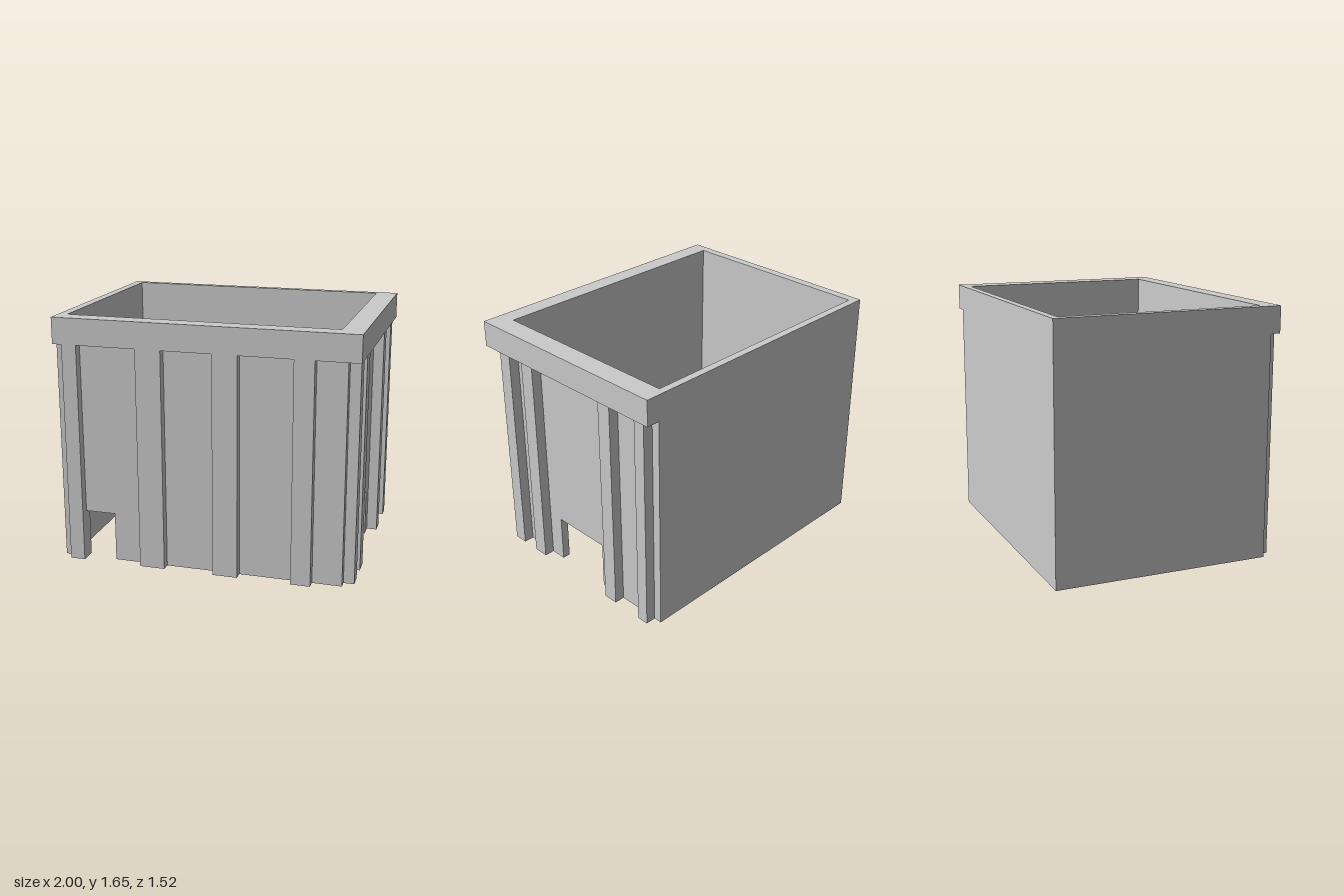
import * as THREE from 'three';

const HEIGHT = 1.655, RIM_Y = 1.48;            // total height, underside of rim
const LEFT = -1, RIGHT = 0.91;                 // wall extents in x
const BACK = -0.76, FRONT = 0.695;             // wall extents in z
const IN = { x0: -0.94, x1: 0.855, z0: -0.71, z1: 0.64 }; // inner cavity

const material = new THREE.MeshStandardMaterial({ color: 0xcccccc, flatShading: true });

function addMesh(parent, name, geometry) {
  const mesh = new THREE.Mesh(geometry, material);
  mesh.name = name;
  parent.add(mesh);
}

// Box given by its limits on each axis
function block(x0, x1, y0, y1, z0, z1) {
  return new THREE.BoxGeometry(x1 - x0, y1 - y0, z1 - z0)
    .translate((x0 + x1) / 2, (y0 + y1) / 2, (z0 + z1) / 2);
}

// Upright panel with a rectangular notch cut from its bottom edge
function notchedPanel(a, b, n0, n1, notchHeight, depth) {
  const shape = new THREE.Shape([
    [a, 0], [n0, 0], [n0, notchHeight], [n1, notchHeight], [n1, 0],
    [b, 0], [b, RIM_Y], [a, RIM_Y],
  ].map(([x, y]) => new THREE.Vector2(x, y)));
  return new THREE.ExtrudeGeometry(shape, { depth, bevelEnabled: false });
}

export function createModel() {
  const group = new THREE.Group();
  group.name = 'openBin';

  // Plain walls
  addMesh(group, 'backWall', block(LEFT, RIGHT, 0, RIM_Y, BACK, IN.z0));
  addMesh(group, 'leftWall', block(LEFT, IN.x0, 0, RIM_Y, IN.z0, IN.z1));

  // Front wall with a small notch
  addMesh(group, 'frontWall',
    notchedPanel(LEFT, RIGHT, -0.84, -0.635, 0.33, FRONT - IN.z1).translate(0, 0, IN.z1));

  // Side wall with a wide notch whose top slopes down towards the inside
  const side = notchedPanel(-IN.z1, -IN.z0, -0.205, 0.215, 0.325, RIGHT - IN.x1)
    .rotateY(Math.PI / 2).translate(IN.x1, 0, 0);
  const pos = side.attributes.position;
  for (let i = 0; i < pos.count; i++) {
    if (pos.getX(i) < 0.88 && Math.abs(pos.getY(i) - 0.325) < 0.01) pos.setY(i, 0.265);
  }
  side.computeVertexNormals();
  addMesh(group, 'sideWall', side);

  // Vertical ribs on the front
  for (const [a, b] of [[-0.94, -0.84], [-0.44, -0.27], [0.065, 0.23], [0.585, 0.715]]) {
    addMesh(group, 'frontRib', block(a, b, 0, RIM_Y, FRONT, 0.755));
  }
  // Vertical ribs on the side
  for (const [a, b] of [[0.545, 0.64], [0.315, 0.42], [-0.41, -0.31], [-0.705, -0.625]]) {
    addMesh(group, 'sideRib', block(RIGHT, 0.98, 0, RIM_Y, a, b));
  }

  // Rim: a rectangular frame laid flat (shape y becomes -z)
  const rect = (Type, x0, x1, y0, y1) => new Type(
    [[x0, y0], [x1, y0], [x1, y1], [x0, y1]].map(([x, y]) => new THREE.Vector2(x, y)));
  const frame = rect(THREE.Shape, -1, 1, -0.76, 0.76);
  frame.holes.push(rect(THREE.Path, IN.x0, IN.x1, -IN.z1, -IN.z0));
  addMesh(group, 'rim',
    new THREE.ExtrudeGeometry(frame, { depth: HEIGHT - RIM_Y, bevelEnabled: false })
      .rotateX(-Math.PI / 2).translate(0, RIM_Y, 0));

  return group;
}
